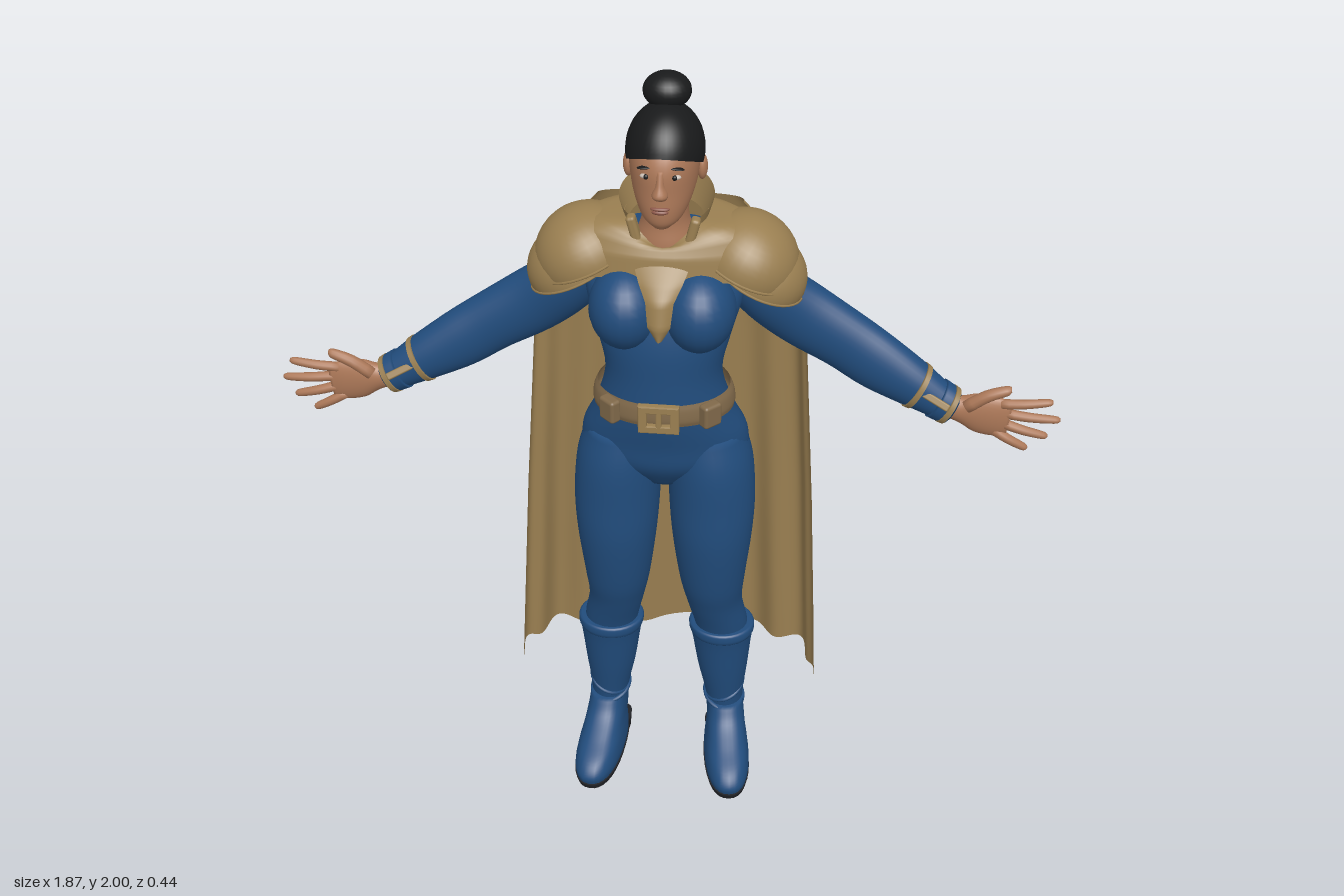
import * as THREE from 'three';
import { mergeVertices } from 'three/addons/utils/BufferGeometryUtils.js';
import { RoundedBoxGeometry } from 'three/addons/geometries/RoundedBoxGeometry.js';

const mat = (name, color, side = THREE.FrontSide) => {
  const m = new THREE.MeshStandardMaterial({ color, side });
  m.name = name;
  return m;
};
const blue = mat('blue suit', 0x214c7c);
const tan = mat('tan cloth', 0x9a7f51, THREE.DoubleSide);
const leather = mat('belt leather', 0x80694a, THREE.DoubleSide);
const skin = mat('skin', 0xac7858);
const black = mat('black hair', 0x191a1b, THREE.DoubleSide);
const sole = mat('dark sole', 0x222327);
const lip = mat('lips', 0x8a5547);
const grey = mat('grey clasp', 0x74716e);
const white = mat('eye white', 0xc9beb4);

// Smooth surface from a rule f(u, v) -> [x, y, z]
function grid(f, nu, nv) {
  const pos = [], idx = [];
  for (let j = 0; j <= nv; j++) for (let i = 0; i <= nu; i++) pos.push(...f(i / nu, j / nv));
  for (let j = 0; j < nv; j++) for (let i = 0; i < nu; i++) {
    const a = j * (nu + 1) + i, b = a + nu + 1;
    idx.push(a, b, a + 1, a + 1, b, b + 1);
  }
  let g = new THREE.BufferGeometry();
  g.setAttribute('position', new THREE.Float32BufferAttribute(pos, 3));
  g.setIndex(idx);
  g = mergeVertices(g, 1e-5);
  g.computeVertexNormals();
  return g;
}

// Oval rings through keys [x, y, z, radius across, radius in z]; limb = rings follow the path
function loft(keys, { limb = false, caps = true, sides = 32, steps = 5, pow = 1 } = {}) {
  const path = new THREE.CatmullRomCurve3(keys.map(k => new THREE.Vector3(k[0], k[1], k[2])), false, 'catmullrom');
  const size = new THREE.CatmullRomCurve3(keys.map(k => new THREE.Vector3(k[3], k[4], 0)), false, 'catmullrom');
  const n = (keys.length - 1) * steps, extra = caps ? 1 : 0, rows = n + 2 * extra;
  const bend = c => Math.sign(c) * Math.abs(c) ** pow;
  return grid((u, v) => {
    const row = Math.round(v * rows) - extra;
    const t = Math.min(Math.max(row / n, 0), 1), k = row < 0 || row > n ? 0 : 1;
    const p = path.getPoint(t), r = size.getPoint(t), d = path.getTangent(t);
    const l = Math.hypot(d.x, d.y) || 1, ux = limb ? d.y / l : 1, uy = limb ? -d.x / l : 0;
    const a = u * 2 * Math.PI, c = k * r.x * bend(Math.cos(a)), s = k * r.y * bend(Math.sin(a));
    return [p.x + ux * c, p.y + uy * c, p.z + s];
  }, sides, rows);
}

const lerpKeys = (keys, t) => {   // keys [t, a, b, ...] with rising t
  let i = 0;
  while (i < keys.length - 2 && t > keys[i + 1][0]) i++;
  const k = (t - keys[i][0]) / (keys[i + 1][0] - keys[i][0]);
  return keys[i].map((a, n) => a + (keys[i + 1][n] - a) * k);
};

export function createModel() {
  const model = new THREE.Group();
  model.name = 'caped figure';
  const add = (name, geo, m, parent = model) => {
    const mesh = new THREE.Mesh(geo, m);
    mesh.name = name;
    parent.add(mesh);
    return mesh;
  };
  const ball = (name, m, p, r, parent) => {
    const b = add(name, new THREE.SphereGeometry(1, 24, 16), m, parent);
    b.position.set(...p);
    b.scale.set(...r);
    return b;
  };

  // Torso and neck
  add('torso', loft([[0, .97, .03, .08, .07], [0, 1.04, .03, .19, .115], [0, 1.11, .035, .2, .122], [0, 1.2, .055, .162, .118],
    [0, 1.3, .068, .138, .104], [0, 1.4, .06, .158, .108], [0, 1.5, .035, .185, .107], [0, 1.58, .005, .185, .09], [0, 1.63, 0, .12, .07]], { sides: 48 }), blue);
  add('neck', loft([[0, 1.56, .015, .075, .07], [0, 1.62, .018, .07, .07], [0, 1.68, .025, .053, .056], [0, 1.77, .035, .055, .06]]), skin);

  // Head and face
  add('head', loft([[0, 1.695, .105, .022, .03], [0, 1.712, .09, .044, .056], [0, 1.74, .07, .06, .08], [0, 1.78, .047, .073, .102],
    [0, 1.83, .037, .079, .11], [0, 1.87, .033, .076, .098], [0, 1.9, .025, .062, .075], [0, 1.93, .025, .03, .03]], { sides: 40 }), skin);
  add('nose', loft([[0, 1.773, .145, .013, .01], [0, 1.785, .148, .018, .021], [0, 1.808, .143, .01, .016], [0, 1.838, .137, .009, .01]], { sides: 16 }), skin);
  ball('upper lip', lip, [0, 1.751, .146], [.022, .005, .009]);
  ball('lower lip', lip, [0, 1.743, .146], [.019, .006, .009]);
  // Hair with a hairline that drops towards the nape
  add('hair', grid((u, v) => {
    const a = u * 2 * Math.PI, s = Math.sin(a);
    const low = Math.asin((1.81 + .055 * s - 1.84) / .105), e = low + (Math.PI / 2 - low) * v;
    return [.088 * Math.cos(a) * Math.cos(e), 1.84 + .105 * Math.sin(e), .03 + .112 * s * Math.cos(e)];
  }, 40, 14), black);
  ball('hair bun', black, [0, 1.959, -.01], [.054, .041, .05]);

  // Cape: pleated sheet wrapped round the back; rows are [t, y, half width, edge z, back z]
  const capeRows = [[0, 1.67, .17, -.06, -.098], [.12, 1.52, .295, -.07, -.13], [.3, 1.28, .33, -.055, -.145], [.6, .85, .36, -.03, -.17], [1, .275, .393, .01, -.203]];
  add('cape', grid((u, v) => {
    const [, y, w, edge, back] = lerpKeys(capeRows, v);
    const a = (u - .5) * Math.PI, s = Math.sin(a), c = Math.max(Math.cos(a), 0);
    const fold = .017 * Math.min(1, .15 + v) * Math.sin(a * 13 + Math.sin(a * 3) + .6) * Math.min(1, v * 4);
    return [Math.sign(s) * Math.abs(s) ** .75 * w + fold * .5 * s, y + fold * .4 * v, edge + (back - edge) * c ** .55 - fold * c ** .3];
  }, 110, 30), tan);

  // Mantle over the shoulders, dipping at the throat
  const mantleRows = [[0, 1.51, .29, .125], [.35, 1.59, .27, .118], [.7, 1.645, .225, .107], [.9, 1.67, .16, .1], [1, 1.672, .095, .09]];
  add('mantle', grid((u, v) => {
    const [, y, rx, rz] = lerpKeys(mantleRows, v), a = u * 2 * Math.PI, f = Math.max(Math.sin(a), 0);
    return [rx * Math.cos(a), y + f * f * .055 * (1 - v) - f ** 6 * .05 * v, rz * Math.sin(a)];
  }, 56, 16), tan);
  const bibRows = [[0, 1.615, .075, .1], [.3, 1.56, .05, .152], [.5, 1.525, .032, .178], [.8, 1.47, .026, .193], [1, 1.435, .008, .19]];
  add('chest panel', grid((u, v) => {
    const [, y, w, z] = lerpKeys(bibRows, v), x = u * 2 - 1;
    return [x * w, y, z - .012 * x * x];
  }, 10, 20), tan);
  add('collar', grid((u, v) => {
    const a = Math.PI * (.5 + .19 + u * 1.62), s = Math.sin(a), r = .088 + .02 * v;
    return [r * Math.cos(a), 1.645 + .02 * -s + v * (.068 - .008 * s), -.002 + r * s * .97];
  }, 36, 6), tan);
  const clasp = add('nape clasp', new RoundedBoxGeometry(.12, .03, .009, 2, .004), grey);
  clasp.position.set(0, 1.625, -.119);
  clasp.rotation.x = .2;

  // Belt and buckle
  add('belt', loft([[0, 1.2, .06, .168, .124], [0, 1.215, .06, .17, .128], [0, 1.24, .062, .166, .124], [0, 1.258, .062, .158, .12]], { caps: false, sides: 48 }), leather);
  const frame = new THREE.Shape([[-.045, -.034], [.045, -.034], [.045, .034], [-.045, .034]].map(p => new THREE.Vector2(...p)));
  frame.holes.push(new THREE.Path([[-.03, -.02], [-.03, .02], [.03, .02], [.03, -.02]].map(p => new THREE.Vector2(...p))));
  add('buckle frame', new THREE.ExtrudeGeometry(frame, { depth: .012, bevelSize: .003, bevelThickness: .003, bevelSegments: 2 }), tan).position.set(0, 1.228, .185);
  add('buckle bar', new RoundedBoxGeometry(.014, .05, .016, 2, .004), tan).position.set(0, 1.228, .192);

  for (const s of [1, -1]) {
    const side = new THREE.Group();
    side.name = s > 0 ? 'left side' : 'right side';
    model.add(side);
    const m = keys => keys.map(k => [k[0] * s, ...k.slice(1)]);

    ball('ear', skin, [s * .082, 1.8, .03], [.012, .03, .019], side);
    ball('eye', white, [s * .031, 1.823, .134], [.014, .006, .008], side);
    ball('iris', black, [s * .031, 1.823, .139], [.006, .006, .005], side);
    ball('eyebrow', black, [s * .033, 1.842, .132], [.019, .003, .008], side).rotation.z = -s * .1;
    ball('bust', blue, [s * .085, 1.475, .098], [.085, .1, .104], side);

    // Collar lapel and belt pouch
    const lapel = add('lapel', new RoundedBoxGeometry(.022, .085, .03, 2, .008), tan, side);
    lapel.position.set(s * .064, 1.655, .078);
    lapel.rotation.z = -s * .25;
    const pouch = add('belt pouch', new RoundedBoxGeometry(.05, .06, .03, 3, .008), leather, side);
    pouch.position.set(s * .118, 1.226, .156);
    pouch.rotation.y = s * .75;

    // Layered shoulder guards
    [[.185, 1.56, .122, .112, .125], [.215, 1.522, .112, .1, .11]].forEach(([x, y, rx, ry, rz], i) => {
      const dome = add(i ? 'lower shoulder guard' : 'upper shoulder guard', new THREE.SphereGeometry(1, 32, 12, 0, Math.PI * 2, 0, Math.PI * .52), tan, side);
      dome.position.set(s * x, y, .003);
      dome.scale.set(rx, ry, rz);
      dome.rotation.z = -s * .42;
      const rim = add('shoulder guard rim', new THREE.TorusGeometry(1, .03, 6, 40), tan, dome);
      rim.rotation.x = Math.PI / 2;
      rim.position.y = -.05;
    });

    // Sleeve, cuff trim and hand
    add('sleeve', loft(m([[.17, 1.53, -.01, .065, .065], [.24, 1.465, -.015, .078, .062], [.32, 1.405, -.02, .082, .055], [.42, 1.345, -.015, .076, .051],
      [.5, 1.295, -.005, .073, .049], [.58, 1.25, .005, .061, .047], [.65, 1.21, .015, .047, .04], [.685, 1.193, .02, .041, .035]]), { limb: true }), blue, side);
    add('cuff', loft(m([[.645, 1.213, .014, .052, .045], [.665, 1.203, .017, .05, .043], [.682, 1.195, .02, .047, .04]]), { limb: true }), blue, side);
    [[.592, 1.243, .007, .062, .049], [.668, 1.202, .018, .051, .044]].forEach(([x, y, z, a, b]) =>
      add('cuff trim', loft(m([[x, y, z, a, b], [x + .012, y - .006, z + .002, a - .002, b - .001]]), { limb: true, caps: false }), tan, side));
    const strap = add('cuff strap', new RoundedBoxGeometry(.085, .018, .01, 2, .004), tan, side);
    strap.position.set(s * .636, 1.233, .053);
    strap.rotation.set(-.45, -s * .05, -s * .5);
    add('palm', loft(m([[.665, 1.203, .02, .032, .027], [.7, 1.196, .028, .034, .024], [.74, 1.192, .034, .052, .022], [.785, 1.185, .038, .054, .018], [.818, 1.182, .04, .046, .012]]), { limb: true }), skin, side);
    const fingers = [[.795, 1.222, .915, 1.237], [.808, 1.196, .937, 1.188], [.805, 1.168, .912, 1.14], [.785, 1.148, .868, 1.102], [.715, 1.212, .815, 1.268]];
    fingers.forEach(([x0, y0, x1, y1], i) => {
      const thumb = i === 4, r = thumb ? .016 : .0125, z = thumb ? .045 : .04, at = t => [x0 + (x1 - x0) * t, y0 + (y1 - y0) * t + (thumb ? .012 * Math.sin(t * Math.PI) : 0)];
      add(thumb ? 'thumb' : 'finger', loft(m([[...at(0), z, r, r], [...at(.45), z + .006, r * .92, r * .92], [...at(.9), z + .004, r * .75, r * .75], [...at(1), z + .003, r * .35, r * .35]]), { limb: true, sides: 12, steps: 3 }), skin, side);
    });

    // Leg and boot
    add('leg', loft(m([[.15, .4, 0, .065, .06], [.145, .47, .01, .07, .064], [.128, .56, .028, .072, .074], [.122, .65, .045, .083, .085],
      [.12, .8, .053, .1, .1], [.118, .92, .048, .107, .106], [.112, 1.03, .04, .104, .112], [.1, 1.12, .035, .09, .1]])), blue, side);
    add('boot shaft', loft(m([[.165, .07, -.022, .05, .054], [.16, .13, -.02, .05, .056], [.157, .2, -.015, .052, .058], [.152, .3, -.006, .066, .066],
      [.149, .4, .004, .077, .07], [.148, .445, .008, .083, .074], [.147, .462, .009, .082, .073]])), blue, side);
    add('boot cuff', loft(m([[.148, .435, .008, .082, .073], [.148, .446, .008, .086, .077], [.147, .462, .008, .086, .077], [.147, .468, .008, .08, .072]])), blue, side);
    for (let i = 0; i < 6; i++) ball('boot lace', blue, [s * .154, .21 + i * .037, -.074 + i * .002], [.026, .007, .013], side);
    for (let i = 0; i < 2; i++) {
      const crease = add('boot crease', new THREE.TorusGeometry(.054, .006, 8, 32), blue, side);
      crease.position.set(s * .157, .18 + i * .035, -.015);
      crease.rotation.set(Math.PI / 2 + .2, s * (i ? .4 : -.3), 0);
      crease.scale.y = 1.08;
    }
    const foot = new THREE.Group();
    foot.name = 'foot';
    foot.position.set(s * .163, 0, 0);
    foot.rotation.y = s * .13;
    side.add(foot);
    add('boot foot', loft([[0, .018, .072, .058, .148], [0, .045, .073, .061, .15], [0, .075, .06, .058, .136], [0, .105, .032, .053, .103], [0, .14, .002, .05, .076], [0, .18, -.012, .047, .058]], { pow: .85 }), blue, foot);
    add('sole', loft([[0, .004, .072, .058, .146], [0, .024, .073, .062, .152]], { pow: .85 }), sole, foot);
    add('heel', loft([[0, 0, -.035, .05, .044], [0, .05, -.035, .053, .047]], { pow: .6 }), sole, foot);
  }
  return model;
}
